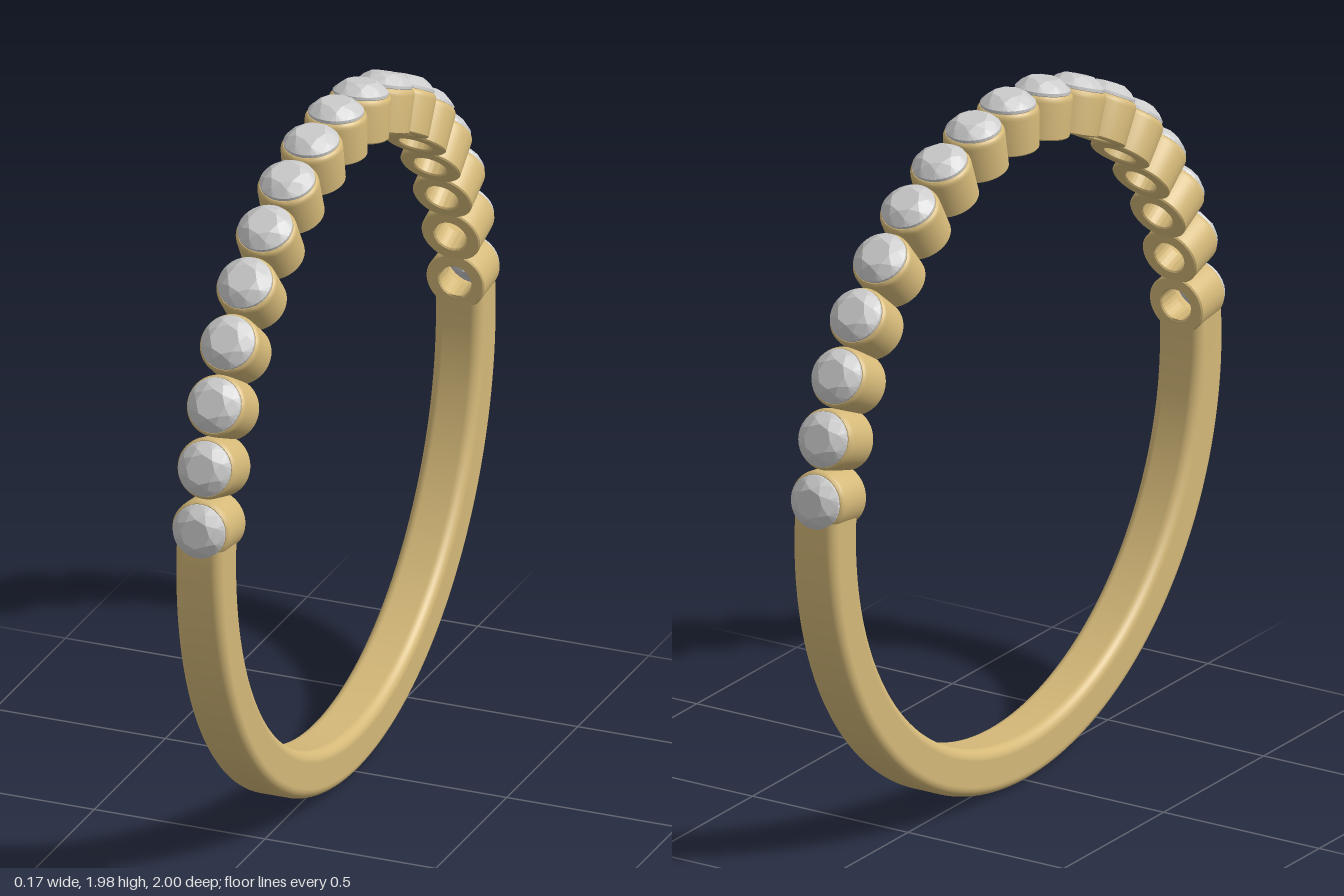
import * as THREE from 'three';
import { toCreasedNormals } from 'three/addons/utils/BufferGeometryUtils.js';
import { ConvexGeometry } from 'three/addons/geometries/ConvexGeometry.js';

const RAD = Math.PI / 180;
const CENTRE_Y = 0.98, INNER = 0.848, OUTER = 0.98;
const STONES = 17, STEP = 10.3 * RAD;

// Plain lower band: a rounded section swept around the finger, ending inside the last bezels
function bandGeometry() {
  const w = 0.07, r = 0.03;
  const section = new THREE.Shape();
  section.absarc(OUTER - r, -w + r, r, -Math.PI / 2, 0);
  section.absarc(OUTER - r, w - r, r, 0, Math.PI / 2);
  section.absarc(INNER + r, w - r, r, Math.PI / 2, Math.PI);
  section.absarc(INNER + r, -w + r, r, Math.PI, Math.PI * 1.5);
  section.closePath();
  const end = 4.65 * RAD;
  const geo = new THREE.LatheGeometry(section.getPoints(8), 120, -end, Math.PI + 2 * end);
  return geo.rotateZ(-Math.PI / 2);
}

// Bezel cup with a rounded rim, a seat for the stone and an open hole below
function bezelGeometry() {
  const profile = [
    [0.046, 0.85], [0.05, 0.846], [0.081, 0.846], [0.085, 0.85], [0.085, 0.95],
    [0.084, 0.958], [0.081, 0.964], [0.077, 0.967], [0.073, 0.966],
    [0.071, 0.95], [0.046, 0.915], [0.046, 0.85],
  ].map(([r, y]) => new THREE.Vector2(r, y));
  return toCreasedNormals(new THREE.LatheGeometry(profile, 48), 0.6);
}

// Round brilliant stone: table, crown, girdle, pavilion and culet
function stoneGeometry() {
  const points = [new THREE.Vector3(0, 0.9, 0)];
  const ring = (r, y, n, turn = 0) => {
    for (let i = 0; i < n; i++) {
      const a = ((i + turn) / n) * Math.PI * 2;
      points.push(new THREE.Vector3(r * Math.sin(a), y, r * Math.cos(a)));
    }
  };
  ring(0.042, 1.004, 8);
  ring(0.06, 0.993, 8, 0.5);
  ring(0.076, 0.976, 32);
  ring(0.076, 0.968, 32);
  ring(0.03, 0.925, 8, 0.5);
  return new ConvexGeometry(points);
}

export function createModel() {
  const gold = new THREE.MeshStandardMaterial({ color: 0xd4b878, side: THREE.DoubleSide });
  const gem = new THREE.MeshStandardMaterial({ color: 0xcccccc, flatShading: true });
  const model = new THREE.Group();
  model.name = 'ring';

  const add = (parent, name, geometry, material) => {
    const mesh = new THREE.Mesh(geometry, material);
    mesh.name = name;
    parent.add(mesh);
  };

  const ring = new THREE.Group();
  ring.name = 'ringBody';
  ring.position.y = CENTRE_Y;
  model.add(ring);
  add(ring, 'band', bandGeometry(), gold);

  // Row of set stones fanned over the upper half
  const bezel = bezelGeometry(), stone = stoneGeometry();
  for (let i = 0; i < STONES; i++) {
    const setting = new THREE.Group();
    setting.name = 'setting' + (i + 1);
    setting.rotation.x = (i - (STONES - 1) / 2) * STEP;
    add(setting, 'bezel', bezel, gold);
    add(setting, 'stone', stone, gem);
    ring.add(setting);
  }
  return model;
}
